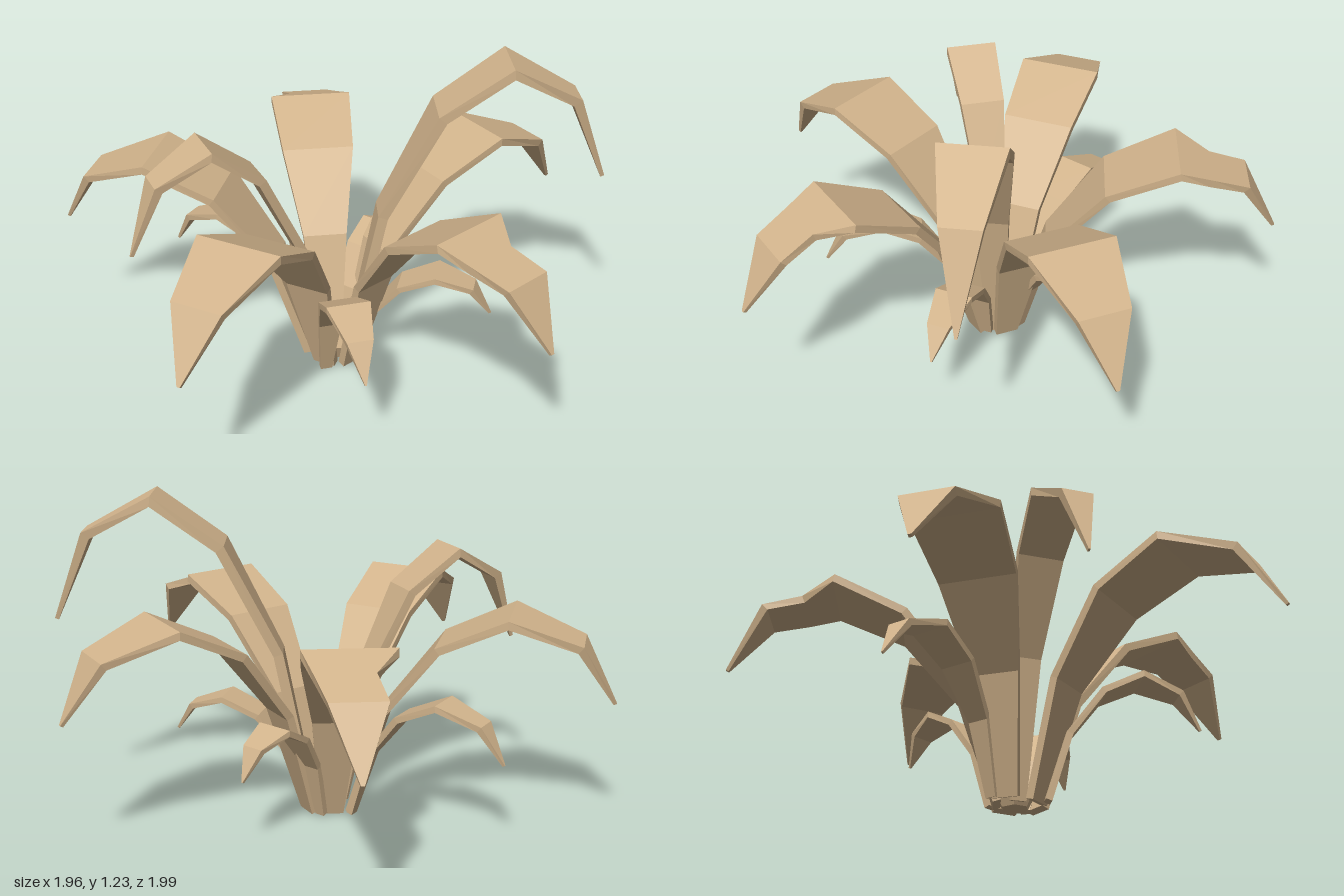
import * as THREE from 'three';

const material = new THREE.MeshStandardMaterial({ color: 0xd2b48c, flatShading: true });

// Stations along a leaf: [reach fraction, height fraction, width]
const STATIONS = [
  [0, 0, 0.09],
  [0.13, 0.51, 0.17],
  [0.345, 0.85, 0.28],
  [0.61, 1, 0.32],
  [0.875, 0.885, 0.19],
  [1, 0.61, 0.012],
];
const NOTCH = [0.735, 0.945, 0.255];

// Arching slab leaf from a base to a tip in plan (x, z), with an optional torn notch
function makeLeaf({ base, tip, height, width, notch }) {
  const stations = STATIONS.slice();
  if (notch) stations.splice(4, 0, NOTCH);

  const start = new THREE.Vector2(...base);
  const out = new THREE.Vector2(...tip).sub(start);
  const length = out.length();
  out.normalize();
  const side = new THREE.Vector2(out.y, -out.x);
  const profile = stations.map(([r, h]) => new THREE.Vector2(r * length, 0.015 + h * (height - 0.015)));
  const last = profile.length - 1;

  const place = (p, s) => [
    start.x + out.x * p.x + side.x * s,
    p.y,
    start.y + out.y * p.x + side.y * s,
  ];

  // Four-cornered cross-section at each station
  const rings = profile.map((p, i) => {
    const tangent = profile[Math.min(i + 1, last)].clone().sub(profile[Math.max(i - 1, 0)]).normalize();
    const thickness = (i === last ? 0.012 : 0.03) * (0.5 + 0.5 * height / 0.82);
    const under = new THREE.Vector2(p.x + tangent.y * thickness, p.y - tangent.x * thickness);
    const half = stations[i][2] * width / 2;
    const left = stations[i] === NOTCH ? half - 0.055 : half;
    return [place(p, left), place(p, -half), place(under, -half), place(under, left)];
  });

  const positions = [];
  const quad = (a, b, c, d) => positions.push(...a, ...b, ...c, ...a, ...c, ...d);
  for (let i = 0; i < last; i++) {
    for (let k = 0; k < 4; k++) {
      const n = (k + 1) % 4;
      quad(rings[i][k], rings[i][n], rings[i + 1][n], rings[i + 1][k]);
    }
  }
  quad(...rings[0].slice().reverse());
  quad(...rings[last]);

  const geometry = new THREE.BufferGeometry();
  geometry.setAttribute('position', new THREE.Float32BufferAttribute(positions, 3));
  geometry.computeVertexNormals();
  return new THREE.Mesh(geometry, material);
}

const LEAVES = {
  // Broad outer leaves
  leftLeaf: { base: [0, -0.05], tip: [0.98, -0.03], height: 0.825, width: 1 },
  backLeaf: { base: [-0.05, -0.1], tip: [0.38, -1], height: 0.825, width: 1, notch: true },
  frontLeaf: { base: [-0.055, 0.03], tip: [0.12, 0.99], height: 0.825, width: 1, notch: true },
  backRightLeaf: { base: [-0.12, -0.11], tip: [-0.82, -0.79], height: 0.825, width: 1 },
  frontRightLeaf: { base: [-0.12, -0.01], tip: [-0.98, 0.48], height: 0.825, width: 1 },
  // Tall narrow leaves
  tallFrontLeftLeaf: { base: [-0.03, -0.03], tip: [0.81, 0.46], height: 1.225, width: 0.74 },
  tallRightLeaf: { base: [-0.09, -0.06], tip: [-0.83, -0.18], height: 1, width: 0.6 },
  // Small low leaves
  smallFrontRightLeaf: { base: [-0.15, 0.02], tip: [-0.33, 0.57], height: 0.5, width: 0.5 },
  smallBackRightLeaf: { base: [-0.1, -0.15], tip: [-0.4, -0.7], height: 0.52, width: 0.45 },
  smallBackLeftLeaf: { base: [-0.01, -0.11], tip: [0.41, -0.26], height: 0.43, width: 0.45 },
  smallFrontLeftLeaf: { base: [-0.02, 0.01], tip: [0.36, 0.39], height: 0.43, width: 0.45 },
};

export function createModel() {
  const plant = new THREE.Group();
  plant.name = 'plant';

  for (const [name, spec] of Object.entries(LEAVES)) {
    const leaf = makeLeaf(spec);
    leaf.name = name;
    plant.add(leaf);
  }

  // Root core where the leaves meet
  const core = new THREE.Mesh(new THREE.CylinderGeometry(0.08, 0.05, 0.06, 6), material);
  core.name = 'rootCore';
  core.position.set(-0.06, 0.03, -0.05);
  plant.add(core);

  return plant;
}
